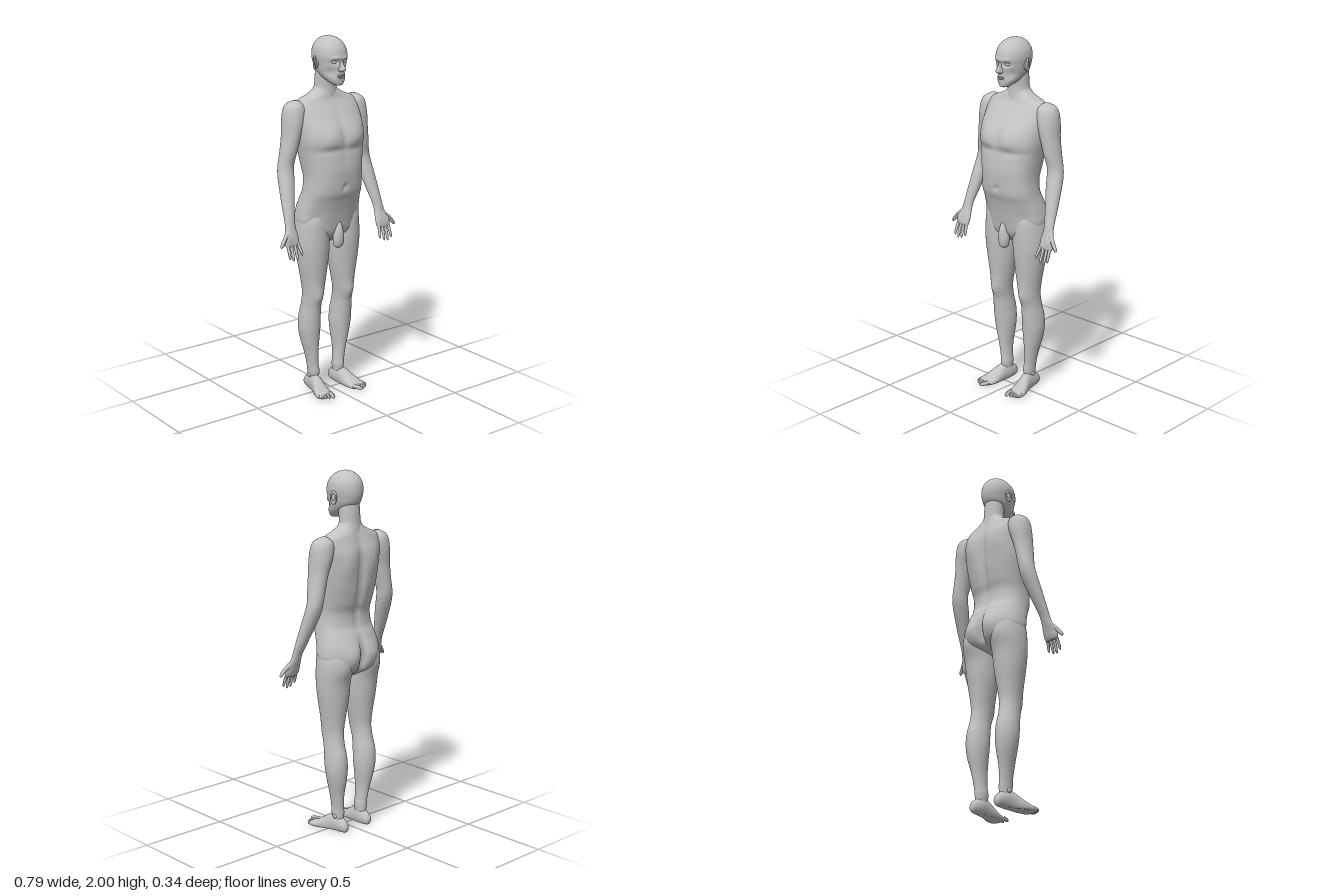
import * as THREE from 'three';

const clay = new THREE.MeshStandardMaterial({ color: 0xc2c2c2 });
clay.name = 'clay grey';

const bell = (v, c, w) => Math.exp(-(((v - c) / w) ** 2));

// Smooth skin over horizontal sections [y, x, z, halfWidth, halfDepth, squareness], listed upwards.
function loft(sections, { seg = 40, steps = 6, n = 2, bump } = {}) {
  const rows = [];
  const last = sections.length - 1;
  const at = i => sections[Math.min(last, Math.max(0, i))];
  for (let k = 0; k <= last * steps; k++) {
    const i = Math.min(last - 1, Math.floor(k / steps)), t = k / steps - i;
    const [p, q, r, s] = [at(i - 1), at(i), at(i + 1), at(i + 2)];
    rows.push([0, 1, 2, 3, 4, 5].map(j => {
      const [a, b, c, d] = [p, q, r, s].map(v => v[j] ?? n);
      return 0.5 * (2 * b + (c - a) * t + (2 * a - 5 * b + 4 * c - d) * t * t + (3 * b - a - 3 * c + d) * t ** 3);
    }));
  }
  const pos = [], index = [], v = new THREE.Vector3();
  const add = (x, y, z, cz) => {
    v.set(x, y, z);
    if (bump) bump(v, z - cz);
    pos.push(v.x, v.y, v.z);
  };
  for (const [y, x, z, rx, rz, e] of rows) {
    for (let i = 0; i < seg; i++) {
      const a = (i / seg) * Math.PI * 2, c = Math.cos(a), s = Math.sin(a);
      add(x + Math.sign(c) * Math.abs(c) ** (2 / e) * Math.max(rx, 0.001), y,
        z + Math.sign(s) * Math.abs(s) ** (2 / e) * Math.max(rz, 0.001), z);
    }
  }
  const top = rows.length - 1, lowPole = rows.length * seg, highPole = lowPole + 1;
  for (const [y, x, z] of [rows[0], rows[top]]) add(x, y, z, z);
  for (let i = 0; i < seg; i++) {
    const j = (i + 1) % seg;
    for (let r = 0; r < top; r++) {
      const a = r * seg + i, b = r * seg + j;
      index.push(a, a + seg, b, b, a + seg, b + seg);
    }
    index.push(lowPole, i, j, highPole, top * seg + j, top * seg + i);
  }
  const g = new THREE.BufferGeometry();
  g.setAttribute('position', new THREE.Float32BufferAttribute(pos, 3));
  g.setIndex(index);
  g.computeVertexNormals();
  return g;
}

// Tapered, round-tipped finger or toe along a path.
function digit(points, radius) {
  const curve = new THREE.CatmullRomCurve3(points.map(p => new THREE.Vector3(...p)));
  const rings = 16, sides = 12;
  const g = new THREE.TubeGeometry(curve, rings, radius, sides);
  const p = g.attributes.position, v = new THREE.Vector3();
  for (let r = 0; r <= rings; r++) {
    const t = r / rings, c = curve.getPointAt(t);
    const k = (1 - 0.25 * t) * Math.sqrt(Math.max(0, 1 - Math.max(0, (t - 0.75) / 0.25) ** 2));
    for (let i = 0; i <= sides; i++) {
      const m = r * (sides + 1) + i;
      v.fromBufferAttribute(p, m).sub(c).multiplyScalar(k).add(c);
      p.setXYZ(m, v.x, v.y, v.z);
    }
  }
  g.computeVertexNormals();
  return g;
}

function ball(x, y, z, rx, ry, rz) {
  return new THREE.SphereGeometry(1, 20, 14).scale(rx, ry, rz).translate(x, y, z);
}

function mirrored(geometry) {
  const g = geometry.clone().scale(-1, 1, 1);
  const a = g.index.array;
  for (let i = 0; i < a.length; i += 3) [a[i], a[i + 1]] = [a[i + 1], a[i]];
  g.computeVertexNormals();
  return g;
}

export function createModel() {
  const model = new THREE.Group();
  model.name = 'standingFigure';
  const add = (name, g) => {
    const m = new THREE.Mesh(g, clay);
    m.name = name;
    model.add(m);
  };
  const pair = (name, g) => {
    add(name + 'Left', g);
    add(name + 'Right', mirrored(g));
  };

  // Torso with chest muscles, spine groove, shoulder blades, navel and buttocks
  add('torso', loft([
    [0.87, 0, -0.02, 0.02, 0.02], [0.89, 0, -0.025, 0.07, 0.055], [0.93, 0, -0.033, 0.165, 0.1],
    [1.0, 0, -0.032, 0.193, 0.116], [1.06, 0, -0.025, 0.189, 0.122], [1.12, 0, -0.008, 0.178, 0.122],
    [1.17, 0, 0.012, 0.171, 0.12], [1.24, 0, 0.018, 0.167, 0.121], [1.3, 0, 0.01, 0.172, 0.131],
    [1.38, 0, -0.002, 0.184, 0.135], [1.45, 0, -0.006, 0.196, 0.137], [1.52, 0, -0.018, 0.2, 0.128],
    [1.58, 0, -0.035, 0.2, 0.108], [1.63, 0, -0.045, 0.193, 0.083], [1.66, 0, -0.05, 0.172, 0.068],
    [1.685, 0, -0.05, 0.112, 0.06], [1.71, 0, -0.05, 0.072, 0.052], [1.74, 0, -0.05, 0.055, 0.045],
  ], {
    seg: 96, n: 2.4, steps: 8, bump: (v, d) => {
      const x = Math.abs(v.x);
      if (d > 0) {
        v.z += 0.014 * bell(x, 0.08, 0.06) * bell(v.y, 1.475, 0.055);
        v.z -= 0.008 * bell(x, 0, 0.014) * bell(v.y, 1.48, 0.13);
        v.z -= 0.008 * bell(x, 0.08, 0.09) * bell(v.y, 1.405, 0.02);
        v.z -= 0.014 * bell(x, 0, 0.01) * bell(v.y, 1.2, 0.016);
        v.z -= 0.012 * bell(x, 0.14, 0.04) * bell(v.y, 1.02, 0.08);
      } else if (d < 0) {
        v.z += 0.018 * bell(x, 0, 0.022) * bell(v.y, 1.42, 0.25);
        v.z -= 0.012 * bell(x, 0.09, 0.05) * bell(v.y, 1.52, 0.09);
        v.z -= 0.026 * bell(x, 0.075, 0.065) * bell(v.y, 1.0, 0.075);
        v.z += 0.045 * bell(x, 0, 0.014) * bell(v.y, 0.98, 0.09);
      }
    },
  }));

  // Neck
  add('neck', loft([
    [1.63, 0, -0.05, 0.1, 0.06], [1.68, 0, -0.048, 0.075, 0.06], [1.73, 0, -0.047, 0.061, 0.055],
    [1.79, 0, -0.043, 0.059, 0.056], [1.85, 0, -0.04, 0.055, 0.055],
  ]));

  // Head with eye sockets and brow
  add('head', loft([
    [1.743, 0, 0.068, 0.012, 0.012], [1.75, 0, 0.058, 0.03, 0.032], [1.78, 0, 0.03, 0.056, 0.064],
    [1.82, 0, 0, 0.072, 0.093], [1.86, 0, -0.008, 0.08, 0.105], [1.9, 0, -0.01, 0.086, 0.107],
    [1.94, 0, -0.012, 0.08, 0.098], [1.972, 0, -0.014, 0.06, 0.075], [1.991, 0, -0.016, 0.034, 0.043],
    [2.0, 0, -0.016, 0.003, 0.003],
  ], {
    seg: 72, steps: 8, n: 2.1, bump: (v, d) => {
      const x = Math.abs(v.x);
      if (d <= 0) return;
      v.z -= 0.013 * bell(x, 0.034, 0.019) * bell(v.y, 1.868, 0.013);
      v.z += 0.006 * bell(x, 0.03, 0.025) * bell(v.y, 1.89, 0.01);
      v.z -= 0.01 * bell(x, 0.05, 0.02) * bell(v.y, 1.815, 0.025);
    },
  }));

  // Face
  add('nose', loft([
    [1.818, 0, 0.09, 0.008, 0.012], [1.824, 0, 0.094, 0.017, 0.025], [1.835, 0, 0.096, 0.015, 0.032],
    [1.855, 0, 0.092, 0.009, 0.024], [1.88, 0, 0.087, 0.008, 0.014], [1.89, 0, 0.087, 0.005, 0.008],
  ], { seg: 24 }));
  add('upperLip', ball(0, 1.797, 0.091, 0.023, 0.005, 0.009));
  add('lowerLip', ball(0, 1.788, 0.089, 0.02, 0.006, 0.009));
  add('chin', ball(0, 1.764, 0.075, 0.022, 0.016, 0.017));
  pair('eye', ball(0.034, 1.868, 0.074, 0.014, 0.009, 0.012));

  // Ears
  const rim = new THREE.TorusGeometry(0.019, 0.006, 10, 24).scale(0.8, 1.5, 1).rotateY(Math.PI / 2 + 0.45);
  pair('earRim', rim.translate(0.091, 1.86, -0.018));
  pair('earBowl', ball(0.084, 1.856, -0.014, 0.009, 0.026, 0.015));

  // Arms, down to the palms facing forward
  pair('arm', loft([
    [0.908, 0.314, 0.078, 0.036, 0.008, 2.6], [0.925, 0.314, 0.074, 0.045, 0.014, 2.6],
    [0.96, 0.312, 0.064, 0.043, 0.018, 2.4], [1.0, 0.306, 0.05, 0.033, 0.02], [1.04, 0.302, 0.038, 0.03, 0.023],
    [1.12, 0.29, 0.008, 0.036, 0.032], [1.22, 0.273, -0.028, 0.044, 0.041], [1.28, 0.264, -0.048, 0.046, 0.043],
    [1.33, 0.257, -0.055, 0.044, 0.045], [1.4, 0.243, -0.05, 0.045, 0.054], [1.48, 0.228, -0.048, 0.049, 0.061],
    [1.55, 0.214, -0.05, 0.059, 0.068], [1.61, 0.203, -0.052, 0.063, 0.064], [1.645, 0.2, -0.053, 0.048, 0.05],
    [1.666, 0.195, -0.054, 0.014, 0.015],
  ], { bump: v => { v.z += 0.006 * bell(v.x, 0.345, 0.02) * bell(v.y, 0.96, 0.03); } }));

  // Fingers: [base x, tip x, tip y]
  [[0.282, 0.27, 0.856], [0.302, 0.3, 0.838], [0.324, 0.325, 0.834], [0.345, 0.348, 0.848]].forEach(([a, b, y], i) => {
    pair('finger' + (i + 1), digit([
      [a, 0.935, 0.072], [(a + b) / 2, (0.925 + y) / 2 + 0.01, 0.09], [b, y + 0.016, 0.102], [b, y, 0.106],
    ], 0.0095));
  });
  pair('thumb', digit([[0.33, 0.985, 0.06], [0.358, 0.957, 0.072], [0.377, 0.933, 0.079], [0.391, 0.913, 0.082]], 0.013));

  // Legs with kneecaps and calves
  pair('leg', loft([
    [0.03, 0.088, -0.05, 0.022, 0.03], [0.1, 0.087, -0.045, 0.03, 0.041], [0.15, 0.092, -0.047, 0.03, 0.041],
    [0.22, 0.099, -0.05, 0.036, 0.048], [0.3, 0.105, -0.055, 0.051, 0.06], [0.37, 0.108, -0.055, 0.06, 0.067],
    [0.44, 0.109, -0.05, 0.058, 0.069], [0.51, 0.108, -0.037, 0.053, 0.064], [0.58, 0.105, -0.024, 0.055, 0.068],
    [0.66, 0.103, -0.024, 0.067, 0.075], [0.76, 0.103, -0.026, 0.084, 0.087], [0.86, 0.104, -0.027, 0.094, 0.096],
    [0.95, 0.105, -0.034, 0.093, 0.104], [1.02, 0.105, -0.034, 0.083, 0.1], [1.08, 0.1, -0.025, 0.06, 0.07],
  ], {
    seg: 48, bump: (v, d) => {
      if (d > 0) v.z += 0.009 * bell(v.x, 0.105, 0.03) * bell(v.y, 0.565, 0.04);
      if (d < 0) v.z -= 0.012 * bell(v.x, 0.085, 0.09) * bell(v.y, 0.95, 0.06);
    },
  }));

  // Feet, skinned from heel to toe with flat soles
  pair('foot', loft([
    [-0.12, 0.087, -0.026, 0.008, 0.008], [-0.108, 0.087, -0.028, 0.022, 0.03], [-0.06, 0.088, -0.038, 0.032, 0.05],
    [-0.01, 0.094, -0.035, 0.035, 0.056], [0.04, 0.105, -0.02, 0.044, 0.042], [0.085, 0.115, -0.012, 0.05, 0.024],
    [0.115, 0.117, -0.01, 0.047, 0.014], [0.13, 0.112, -0.009, 0.035, 0.006],
  ], { bump: v => { v.z = Math.min(v.z, 0); } }).rotateX(Math.PI / 2));
  pair('ankleBone', ball(0.113, 0.085, -0.048, 0.009, 0.014, 0.013));

  // Toes: [base x, tip x, tip z, thickness]
  [[0.083, 0.1, 0.166, 0.013], [0.105, 0.121, 0.155, 0.009], [0.12, 0.138, 0.146, 0.009],
    [0.135, 0.153, 0.134, 0.008], [0.149, 0.166, 0.119, 0.008]].forEach(([a, b, z, r], i) => {
    pair('toe' + (i + 1), digit([[a, 0.015, z - 0.06], [(a + b) / 2, 0.017, z - 0.028], [b, r, z]], r));
  });

  // Simplified groin form
  add('groin', loft([
    [0.845, 0, 0.068, 0.008, 0.008], [0.86, 0, 0.07, 0.026, 0.024], [0.9, 0, 0.072, 0.032, 0.03],
    [0.95, 0, 0.072, 0.024, 0.028], [1.0, 0, 0.06, 0.016, 0.02],
  ], { seg: 28 }));

  return model;
}
